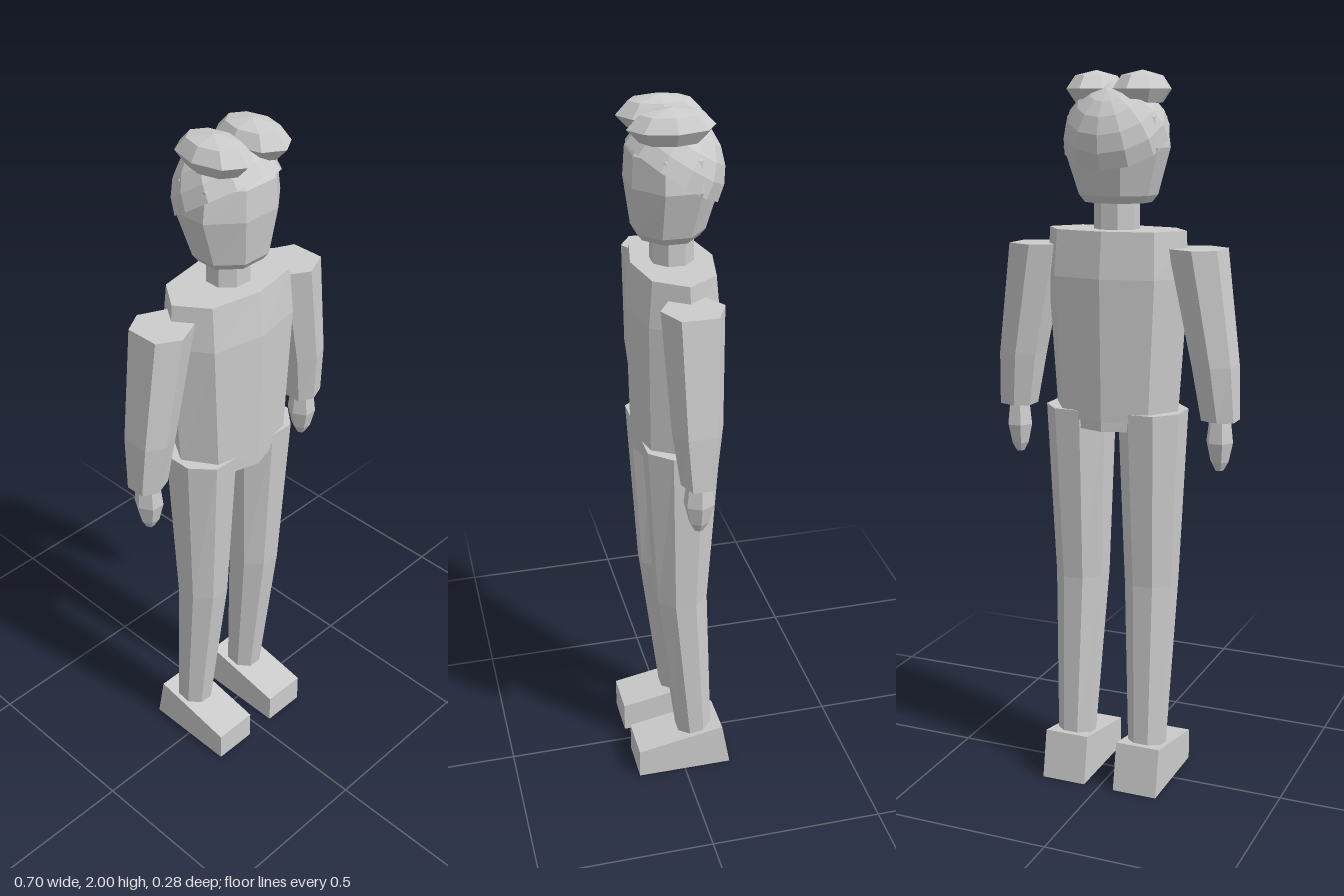
import * as THREE from 'three';

const grey = new THREE.MeshStandardMaterial({ color: 0xcccccc, flatShading: true, side: THREE.DoubleSide });
grey.name = 'plain grey';

// Unit outlines [x, z], ordered from +x towards +z
function polygon(n, turn = 0, r = 1) {
  return Array.from({ length: n }, (_, i) => {
    const a = ((i + turn) / n) * Math.PI * 2;
    return [r * Math.cos(a), r * Math.sin(a)];
  });
}
const octagon = polygon(8, 0.5, 1 / Math.cos(Math.PI / 8));
const torsoOutline = [[1, 0], [0.7, 0.76], [0, 1], [-0.7, 0.76], [-1, 0], [-0.7, -0.76], [0, -1], [0.7, -0.76]];
const armOutline = [[1, 0.58], [-0.12, 1], [-1, 0.58], [-1, -0.58], [-0.12, -1], [1, -0.58]];

// Capped solid through sections [y, centreX, centreZ, halfX, halfZ], listed bottom to top
function loft(name, outline, sections) {
  const n = outline.length, pos = [], idx = [];
  for (const [y, cx, cz, hx, hz] of sections)
    for (const [x, z] of outline) pos.push(cx + x * hx, y, cz + z * hz);
  const last = sections.length - 1, bottom = n * sections.length, top = bottom + 1;
  for (const s of [sections[0], sections[last]]) pos.push(s[1], s[0], s[2]);
  for (let j = 0; j < n; j++) {
    const k = (j + 1) % n;
    for (let i = 0; i < last; i++) {
      const a = i * n + j, b = i * n + k;
      idx.push(a, a + n, b, b, a + n, b + n);
    }
    idx.push(bottom, j, k, top, last * n + k, last * n + j);
  }
  const geo = new THREE.BufferGeometry();
  geo.setAttribute('position', new THREE.Float32BufferAttribute(pos, 3));
  geo.setIndex(idx);
  return mesh(name, geo);
}

function mesh(name, geometry) {
  const geo = geometry.index ? geometry.toNonIndexed() : geometry;
  geo.computeVertexNormals();
  const m = new THREE.Mesh(geo, grey);
  m.name = name;
  return m;
}

// Wedge shoe: low toe, high heel with a sloping back
function foot(name, x) {
  const side = new THREE.Shape([[-0.14, 0], [0.14, 0], [0.14, 0.09], [-0.115, 0.137]].map(p => new THREE.Vector2(...p)));
  const geo = new THREE.ExtrudeGeometry(side, { depth: 0.13, bevelEnabled: false });
  geo.translate(0, 0, -0.065).rotateY(-Math.PI / 2).translate(x, 0, 0);
  return mesh(name, geo);
}

export function createModel() {
  const model = new THREE.Group();
  model.name = 'figure';

  // Body
  model.add(
    loft('torso', torsoOutline, [
      [1.07, 0, 0, 0.18, 0.115], [1.46, 0, 0, 0.207, 0.124], [1.585, 0, 0, 0.2, 0.11],
    ]),
    loft('pelvis', torsoOutline, [[1.045, 0, 0, 0.13, 0.115], [1.08, 0, 0, 0.14, 0.115]]),
    loft('neck', octagon, [[1.56, 0, 0, 0.058, 0.054], [1.7, 0, 0, 0.058, 0.054]]),
    loft('head', octagon, [
      [1.655, 0, 0.01, 0.085, 0.075], [1.675, 0, 0.01, 0.1, 0.09], [1.8, 0, 0, 0.135, 0.115],
      [1.88, 0, 0, 0.125, 0.11], [1.93, 0, 0, 0.085, 0.075],
    ]),
  );

  // Hair cap: half sphere tilted up at the front, then stretched to the skull
  const cap = new THREE.SphereGeometry(1, 12, 5, 0, Math.PI * 2, 0, Math.PI / 2);
  cap.rotateX(-0.54).scale(0.147, 0.15, 0.137).translate(0, 1.82, 0);
  model.add(mesh('hairCap', cap));

  // Mirrored limbs and hair tufts
  for (const [side, s] of [['left', 1], ['right', -1]]) {
    const tuft = new THREE.SphereGeometry(1, 8, 4);
    tuft.scale(0.074, 0.049, 0.113).translate(s * 0.066, 1.951, 0.016);
    model.add(
      mesh(side + 'HairTuft', tuft),
      loft(side + 'Arm', armOutline.map(([x, z]) => [x, z]), [
        [1.08, s * 0.303, 0, 0.046, 0.048], [1.23, s * 0.287, 0, 0.055, 0.068], [1.54, s * 0.234, 0, 0.068, 0.083],
      ]),
      loft(side + 'Hand', polygon(6), [
        [0.94, s * 0.302, 0, 0.012, 0.013], [0.965, s * 0.302, 0, 0.026, 0.028], [1.02, s * 0.302, 0, 0.038, 0.042],
        [1.09, s * 0.302, 0, 0.03, 0.034],
      ]),
      loft(side + 'Leg', octagon, [
        [0.11, s * 0.11, -0.04, 0.05, 0.05], [0.6, s * 0.106, 0, 0.07, 0.071], [1.095, s * 0.108, 0, 0.088, 0.1],
      ]),
      foot(side + 'Foot', s * 0.11),
    );
  }
  return model;
}
